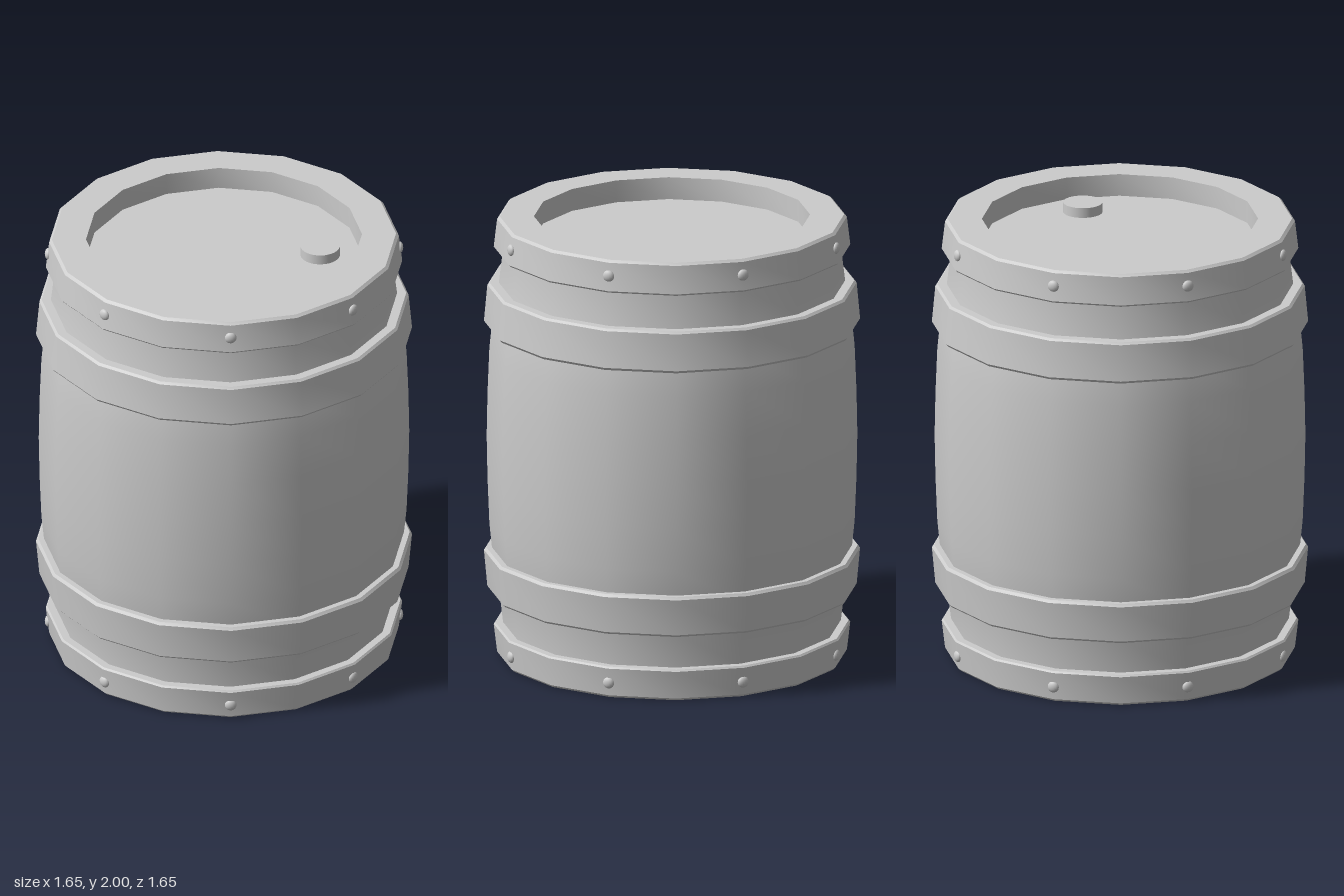
import * as THREE from 'three';
import { toCreasedNormals } from 'three/addons/utils/BufferGeometryUtils.js';

const SIDES = 16;
const HEIGHT = 2;
const material = new THREE.MeshStandardMaterial({ color: 0xcccccc });

// Same profile flipped top to bottom, kept in upward winding order
const flip = (profile) => profile.map(([r, y]) => [r, HEIGHT - y]).reverse();

function addMesh(parent, name, geometry) {
  const mesh = new THREE.Mesh(geometry, material);
  mesh.name = name;
  parent.add(mesh);
  return mesh;
}

// Sixteen-sided ring, smooth around and sharp along its edges
function turned(parent, name, profile) {
  const points = profile.map(([r, y]) => new THREE.Vector2(r, y));
  return addMesh(parent, name, toCreasedNormals(new THREE.LatheGeometry(points, SIDES), 0.5));
}

export function createModel() {
  const barrel = new THREE.Group();
  barrel.name = 'barrel';

  // Bulging staves, flat rims and recessed heads
  const upperHalf = [
    [0.811, 1.2], [0.803, 1.4], [0.787, 1.56], [0.761, 1.7], [0.742, 1.86],
    [0.742, 1.98], [0.757, 2], [0.607, 2], [0.607, 1.9], [0, 1.9],
  ];
  turned(barrel, 'body', [...flip(upperHalf), [0.815, 1], ...upperHalf]);

  // Hoops: flared toward the middle, with small bevels
  const endHoop = [
    [0.735, 1.855], [0.777, 1.855], [0.784, 1.863], [0.769, 1.989], [0.757, 2],
  ];
  const middleHoop = [
    [0.76, 1.512], [0.817, 1.512], [0.827, 1.524], [0.812, 1.688], [0.802, 1.698], [0.74, 1.698],
  ];
  turned(barrel, 'topHoop', endHoop);
  turned(barrel, 'upperHoop', middleHoop);
  turned(barrel, 'lowerHoop', flip(middleHoop));
  turned(barrel, 'bottomHoop', flip(endHoop));

  // Domed rivets around both end hoops
  const rivetGeometry = new THREE.SphereGeometry(0.026, 14, 10);
  for (const y of [0.07, 1.93]) {
    const rivets = new THREE.Group();
    rivets.name = y > 1 ? 'topRivets' : 'bottomRivets';
    for (let i = 0; i < 8; i++) {
      const angle = (i * Math.PI) / 4;
      const rivet = addMesh(rivets, 'rivet', rivetGeometry);
      rivet.position.set(Math.sin(angle) * 0.773, y, Math.cos(angle) * 0.773);
      rivet.rotation.y = angle;
      rivet.scale.z = 0.6;
    }
    barrel.add(rivets);
  }

  // Bung plug on the top head
  const plug = addMesh(barrel, 'plug', new THREE.CylinderGeometry(0.087, 0.087, 0.06, 32));
  plug.position.set(0.423, 1.915, 0);

  return barrel;
}
